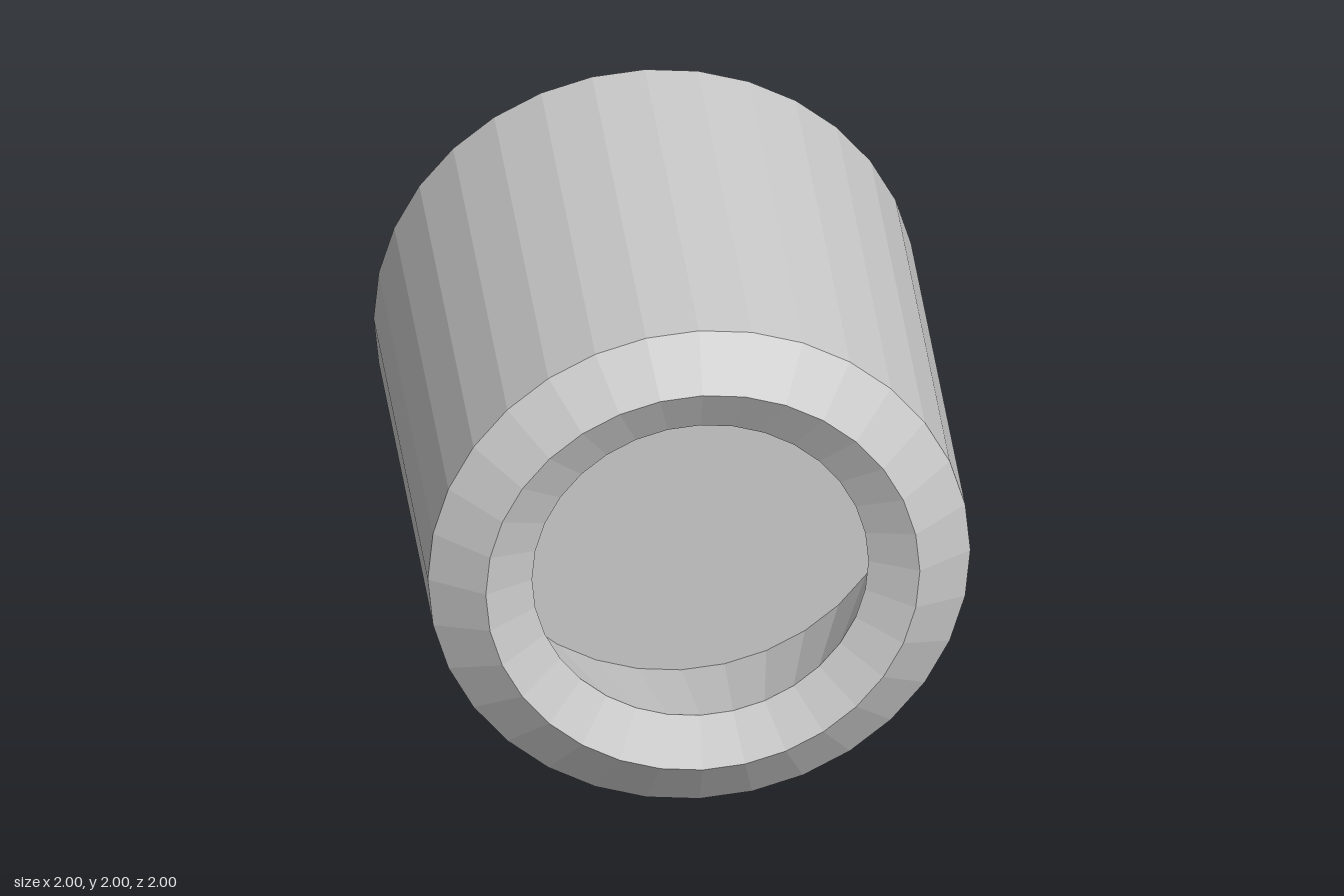
import * as THREE from 'three';

const SIDES = 32;

export function createModel() {
  const model = new THREE.Group();
  model.name = 'hollowBarrel';
  const material = new THREE.MeshStandardMaterial({ color: 0xcccccc, flatShading: true });

  // Turns a [radius, z] profile around the z axis
  function turned(name, profile) {
    const points = profile.map(([r, z]) => new THREE.Vector2(r, z));
    const geometry = new THREE.LatheGeometry(points, SIDES);
    geometry.rotateX(Math.PI / 2);
    const mesh = new THREE.Mesh(geometry, material);
    mesh.name = name;
    mesh.position.y = 1;
    model.add(mesh);
  }

  // Closed back and straight outer wall
  turned('outerShell', [[0, -1], [1, -1], [1, 0.87]]);
  // Front rim, bevelled outwards and inwards
  turned('bevelledRim', [[1, 0.87], [0.8, 1], [0.62, 0.91]]);
  // Recess that widens towards its flat floor
  turned('recess', [[0.62, 0.91], [0.82, 0.25], [0, 0.25]]);

  return model;
}
